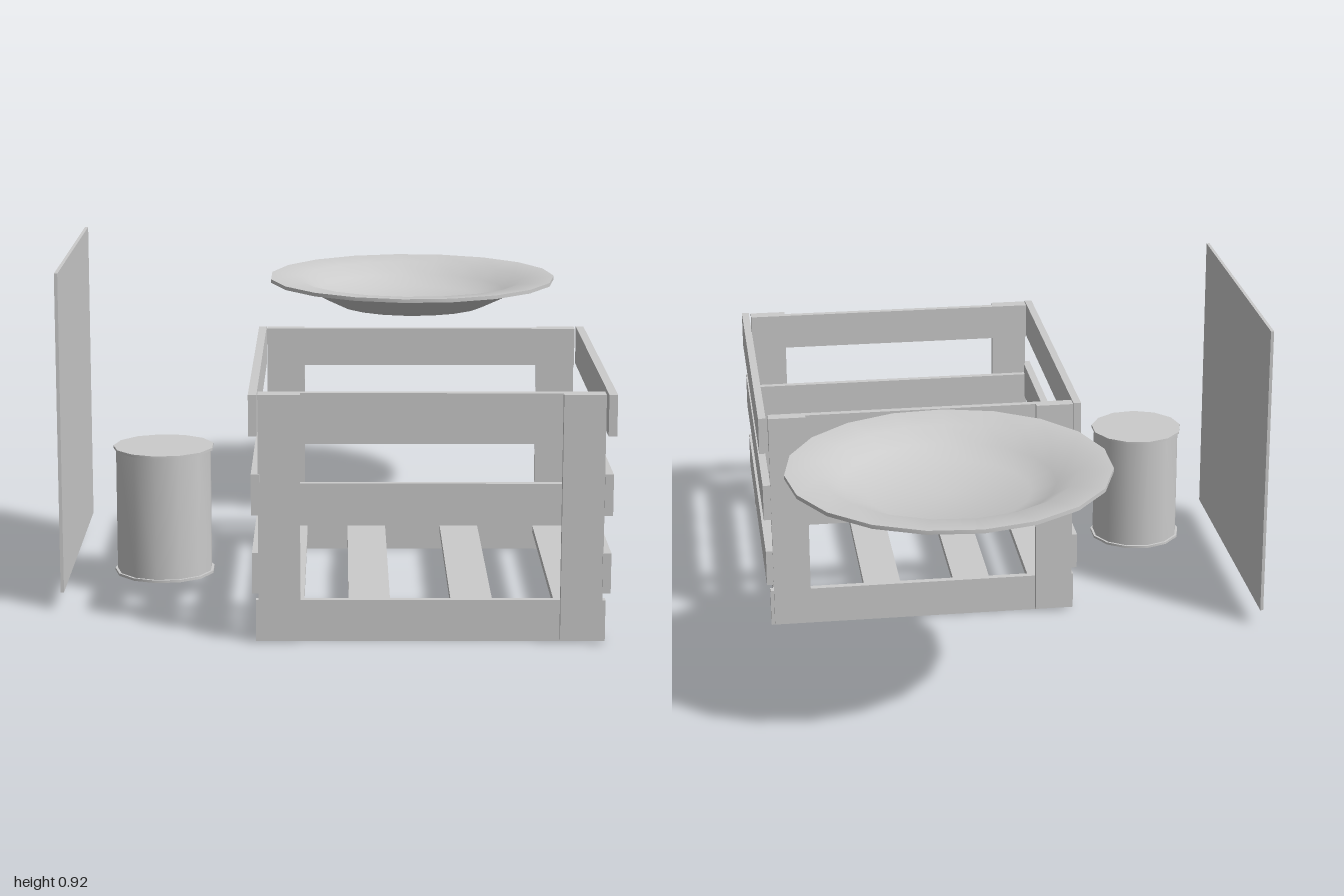
import * as THREE from 'three';
import { toCreasedNormals } from 'three/addons/utils/BufferGeometryUtils.js';

const material = new THREE.MeshStandardMaterial({ color: 0xcccccc });

// Box given by its extents along each axis
function slab(name, [x0, x1], [y0, y1], [z0, z1]) {
  const mesh = new THREE.Mesh(new THREE.BoxGeometry(x1 - x0, y1 - y0, z1 - z0), material);
  mesh.position.set((x0 + x1) / 2, (y0 + y1) / 2, (z0 + z1) / 2);
  mesh.name = name;
  return mesh;
}

// Closed turned shape, smooth except at sharp profile corners
function turned(name, profile, sides, start) {
  const points = profile.map(([r, y]) => new THREE.Vector2(r, y));
  const geometry = toCreasedNormals(new THREE.LatheGeometry(points, sides, start), 0.6);
  const mesh = new THREE.Mesh(geometry, material);
  mesh.name = name;
  return mesh;
}

function createCrate() {
  const crate = new THREE.Group();
  crate.name = 'crate';

  // Front and back frames: two posts on the outside of three rails
  const ends = [
    { name: 'front', post: [0.975, 0.996], rail: [0.955, 0.975] },
    { name: 'back', post: [0.022, 0.038], rail: [0.038, 0.058] },
  ];
  for (const { name, post, rail } of ends) {
    for (const x of [[-0.188, -0.08], [0.592, 0.7]]) crate.add(slab(name + 'Post', x, [0.008, 0.657], post));
    crate.add(slab(name + 'BottomRail', [-0.195, 0.71], [0, 0.11], rail));
    crate.add(slab(name + 'MiddleRail', [-0.188, 0.7], [0.315, 0.42], rail));
    crate.add(slab(name + 'TopRail', [-0.188, 0.7], [0.55, 0.657], rail));
  }

  // Side slats, flaring slightly towards the top
  const levels = [[0.135, 0.242, 0], [0.342, 0.45, 0.002], [0.55, 0.658, 0.008]];
  for (const [y0, y1, flare] of levels) {
    crate.add(slab('rightSideSlat', [-0.204 - flare, -0.182 - flare], [y0, y1], [0.026, 1]));
    crate.add(slab('leftSideSlat', [0.698 + flare, 0.72 + flare], [y0, y1], [0.026, 1]));
  }

  // Floor slats
  for (const x of [-0.182, 0.045, 0.315, 0.587]) {
    crate.add(slab('floorSlat', [x, x + 0.11], [0.05, 0.07], [0.055, 0.958]));
  }
  return crate;
}

// Shallow dish with a flat wide rim
function createPlate() {
  const plate = turned('plate', [
    [0, 0.625], [0.225, 0.625], [0.288, 0.655], [0.345, 0.69],
    [0.442, 0.702], [0.442, 0.713], [0.345, 0.704],
    [0.29, 0.67], [0.222, 0.642], [0, 0.635],
  ], 19, Math.PI / 2);
  plate.position.set(0.246, 0, -0.558);
  return plate;
}

// Tin can with a thin lip at both ends
function createCan() {
  const can = turned('can', [
    [0, 0.05], [0.139, 0.05], [0.139, 0.057], [0.132, 0.057],
    [0.132, 0.398], [0.139, 0.398], [0.139, 0.405], [0, 0.405],
  ], 13, -Math.PI / 2);
  can.position.set(-0.463, 0, 0.468);
  return can;
}

export function createModel() {
  const model = new THREE.Group();
  model.name = 'crateSet';
  model.add(createCrate(), createPlate(), createCan());
  // Thin upright board
  model.add(slab('board', [-0.731, -0.722], [0.05, 0.92], [-0.173, 0.697]));
  return model;
}
